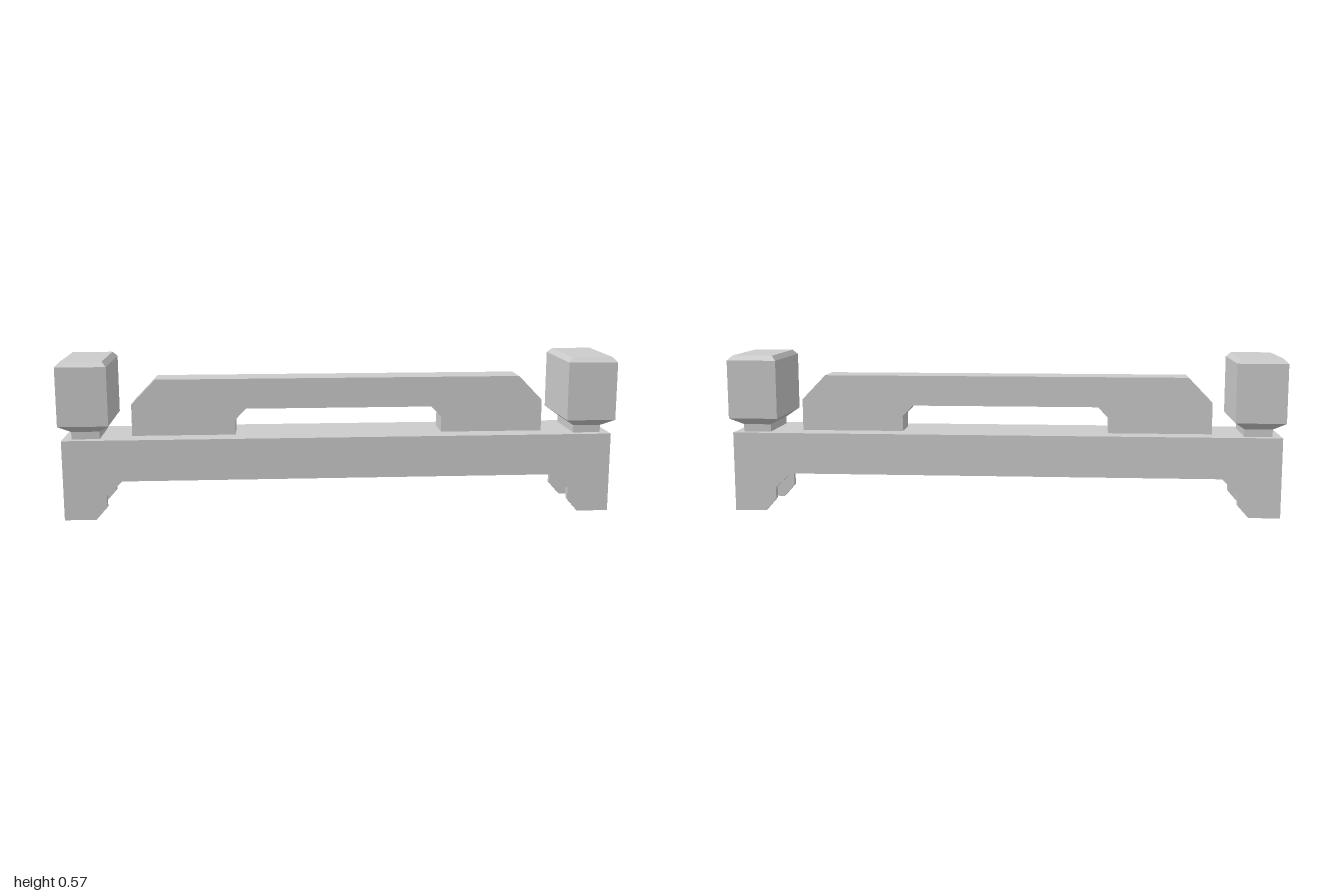
import * as THREE from 'three';

const material = new THREE.MeshStandardMaterial({ color: 0xcccccc, flatShading: true });

function addMesh(parent, name, geometry, x = 0, y = 0, z = 0) {
  const mesh = new THREE.Mesh(geometry, material);
  mesh.name = name;
  mesh.position.set(x, y, z);
  parent.add(mesh);
  return mesh;
}

// Extrude a left-right symmetric outline, given by its +x half, centred on z.
function symmetricPlate(half, depth) {
  const mirrored = half.map(([x, y]) => [-x, y]).reverse();
  const shape = new THREE.Shape([...half, ...mirrored].map(([x, y]) => new THREE.Vector2(x, y)));
  return new THREE.ExtrudeGeometry(shape, { depth, bevelEnabled: false }).translate(0, 0, -depth / 2);
}

// Skin a stack of rectangles [y, halfX, halfZ], closed at both ends.
function rectangularLoft(sections) {
  const positions = [];
  const ring = ([y, hx, hz]) => [[-hx, y, hz], [hx, y, hz], [hx, y, -hz], [-hx, y, -hz]];
  const quad = (a, b, c, d) => positions.push(...a, ...b, ...c, ...a, ...c, ...d);
  const rings = sections.map(ring);
  for (let i = 0; i < rings.length - 1; i++) {
    const low = rings[i], high = rings[i + 1];
    for (let k = 0; k < 4; k++) {
      const n = (k + 1) % 4;
      quad(low[k], low[n], high[n], high[k]);
    }
  }
  quad(...rings[rings.length - 1]);
  quad(...[...rings[0]].reverse());
  const geometry = new THREE.BufferGeometry();
  geometry.setAttribute('position', new THREE.Float32BufferAttribute(positions, 3));
  geometry.computeVertexNormals();
  return geometry;
}

export function createModel() {
  const model = new THREE.Group();
  model.name = 'bracketWithEndPosts';

  // Hollow base, open underneath
  const halfLength = 0.993, halfDepth = 0.137, topY = 0.29, wall = 0.022;
  const base = new THREE.Group();
  base.name = 'base';
  model.add(base);

  const sideProfile = [
    [0.783, 0.14], [0.84, 0.088], [0.84, 0.045], [0.88, 0],
    [halfLength, 0], [halfLength, topY],
  ];
  const sideGeometry = symmetricPlate(sideProfile, wall);
  addMesh(base, 'frontWall', sideGeometry, 0, 0, halfDepth - wall / 2);
  addMesh(base, 'backWall', sideGeometry, 0, 0, -halfDepth + wall / 2);

  const innerDepth = 2 * (halfDepth - wall);
  addMesh(base, 'deck', new THREE.BoxGeometry(2 * halfLength, wall, innerDepth), 0, topY - wall / 2, 0);
  const endGeometry = new THREE.BoxGeometry(wall, topY - wall, innerDepth);

  // Raised bar with a shallow arch
  const barProfile = [
    [0.34, 0.385], [0.378, 0.345], [0.378, topY], [0.752, topY],
    [0.752, 0.405], [0.665, 0.495],
  ];
  addMesh(model, 'raisedBar', symmetricPlate(barProfile, 0.116));

  // End walls and bevelled posts on short necks
  const capGeometry = rectangularLoft([
    [0.317, 0.05, 0.106], [0.345, 0.089, 0.158],
    [0.556, 0.089, 0.158], [0.573, 0.073, 0.141],
  ]);
  const neckGeometry = new THREE.BoxGeometry(0.1, 0.027, 0.212);
  for (const [side, label] of [[1, 'left'], [-1, 'right']]) {
    addMesh(base, label + 'EndWall', endGeometry, side * (halfLength - wall / 2), (topY - wall) / 2, 0);
    const post = new THREE.Group();
    post.name = label + 'Post';
    post.position.x = side * 0.911;
    model.add(post);
    addMesh(post, label + 'Neck', neckGeometry, 0, 0.3035, 0);
    addMesh(post, label + 'Cap', capGeometry);
  }

  return model;
}
